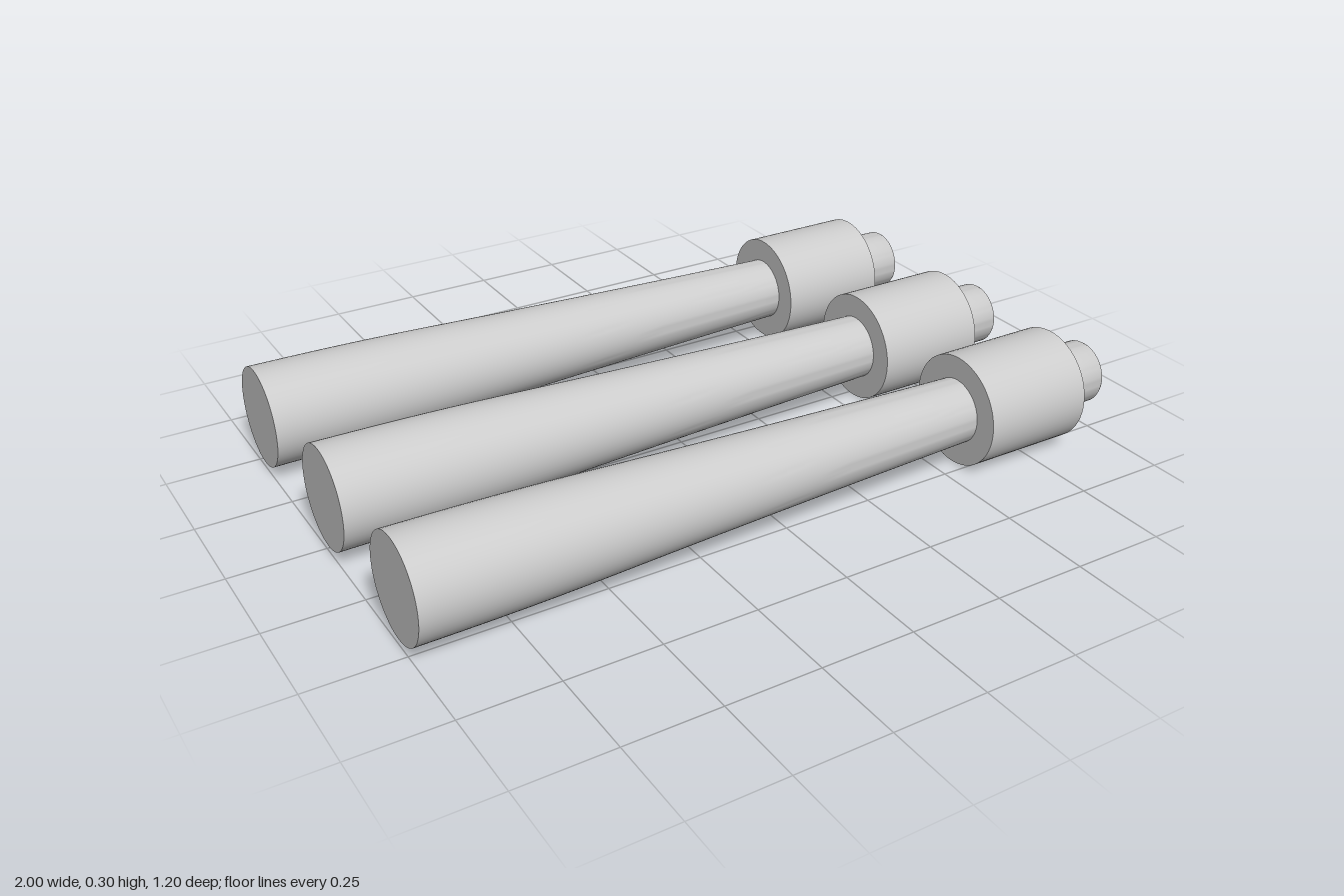
import * as THREE from 'three';
import { toCreasedNormals } from 'three/addons/utils/BufferGeometryUtils.js';

const AXIS_HEIGHT = 0.15;
const material = new THREE.MeshStandardMaterial({ color: 0xcccccc });

// Revolve [x, radius] pairs about the x axis, keeping the rims sharp
function turned(name, profile) {
  const points = profile.map(([x, r]) => new THREE.Vector2(r, x));
  const geometry = new THREE.LatheGeometry(points, 64).rotateZ(-Math.PI / 2);
  const mesh = new THREE.Mesh(toCreasedNormals(geometry, 0.6), material);
  mesh.name = name;
  return mesh;
}

function createRod() {
  const rod = new THREE.Group();
  rod.name = 'rod';

  // Tapered handle, closed at its wide end
  const taper = new THREE.SplineCurve([
    [-1, 0.135], [-0.8, 0.133], [-0.6, 0.128], [-0.3, 0.116],
    [0, 0.105], [0.3, 0.095], [0.57, 0.087],
  ].map(([x, r]) => new THREE.Vector2(x, r)));
  rod.add(turned('handle', [[-1, 0], ...taper.getPoints(20).map((p) => [p.x, p.y])]));

  // Thick collar
  rod.add(turned('collar', [
    [0.56, 0.08], [0.56, 0.15], [0.87, 0.15], [0.87, 0.08],
  ]));

  // Hollow nozzle with a chamfered lip and a blind bore
  rod.add(turned('nozzle', [
    [0.86, 0.087], [0.993, 0.085], [1, 0.081],
    [1, 0.07], [0.992, 0.067], [0.7, 0.065], [0.7, 0],
  ]));
  return rod;
}

export function createModel() {
  const model = new THREE.Group();
  model.name = 'threeRods';
  for (const z of [-0.45, 0.013, 0.45]) {
    const rod = createRod();
    rod.position.set(0, AXIS_HEIGHT, z);
    model.add(rod);
  }
  return model;
}
